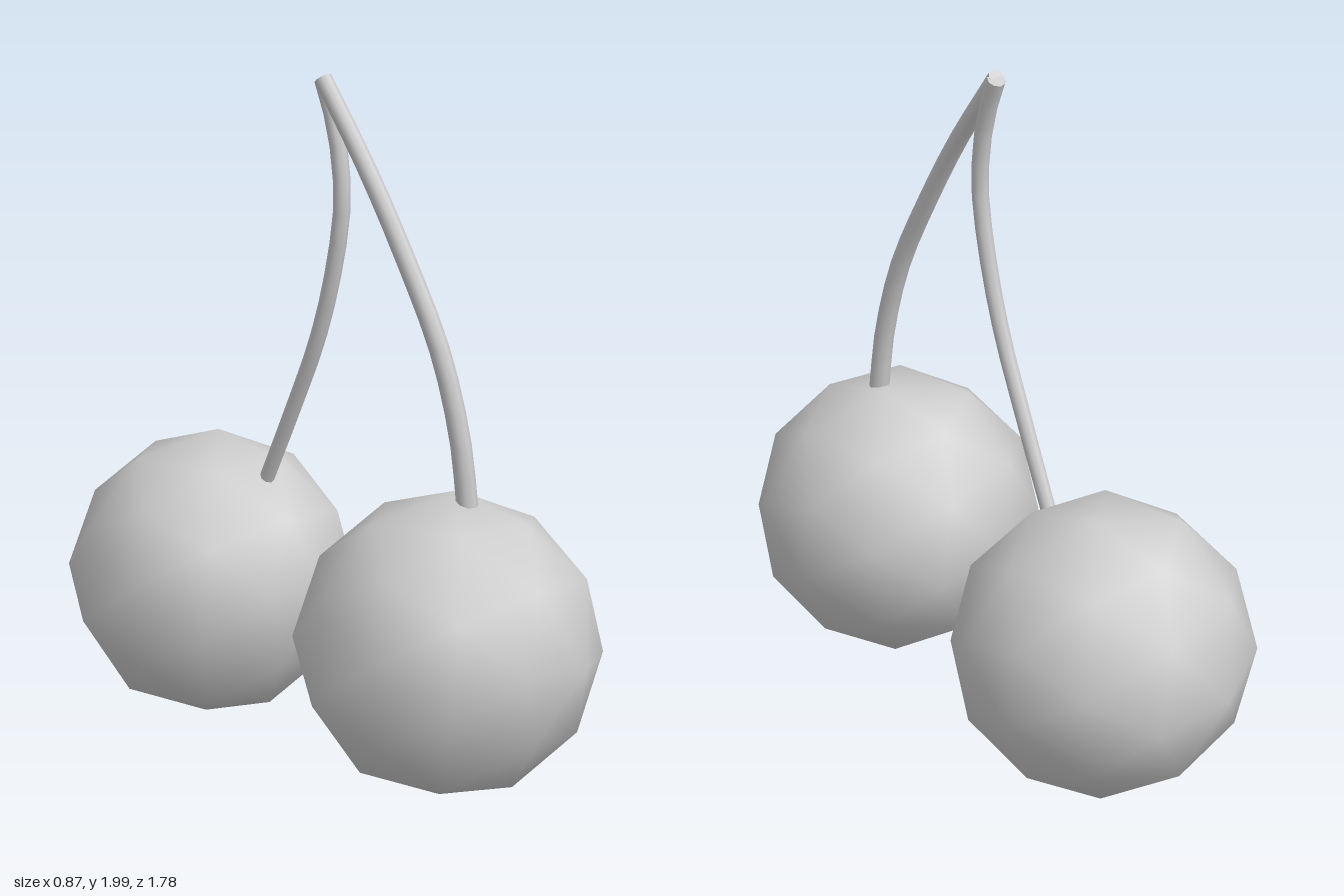
import * as THREE from 'three';

const material = new THREE.MeshStandardMaterial({ color: 0xcccccc });
const RINGS = 14, SIDES = 8;

// Low-poly round fruit, leaning slightly to one side
function makeFruit(name, x, y, z) {
  const fruit = new THREE.Mesh(new THREE.IcosahedronGeometry(0.431, 1), material);
  const up = new THREE.Vector3(0.14, 0.987, -0.08).normalize();
  const side = new THREE.Vector3(-0.964, 0, 0.266).projectOnPlane(up).normalize();
  const front = up.clone().cross(side);
  fruit.quaternion.setFromRotationMatrix(new THREE.Matrix4().makeBasis(side, front, up));
  fruit.position.set(x, y, z);
  fruit.name = name;
  return fruit;
}

// Curved stem tapering from r0 to r1, closed by a disc at each end
function makeStem(name, points, r0, r1) {
  const stem = new THREE.Group();
  stem.name = name;
  const curve = new THREE.CatmullRomCurve3(points.map(p => new THREE.Vector3(...p)));
  const geometry = new THREE.TubeGeometry(curve, RINGS, 1, SIDES);
  const pos = geometry.attributes.position;
  const v = new THREE.Vector3();
  for (let i = 0; i < pos.count; i++) {
    const t = Math.floor(i / (SIDES + 1)) / RINGS;
    const c = curve.getPointAt(t);
    v.fromBufferAttribute(pos, i).sub(c).multiplyScalar(r0 + (r1 - r0) * t).add(c);
    pos.setXYZ(i, v.x, v.y, v.z);
  }
  const shaft = new THREE.Mesh(geometry, material);
  shaft.name = name + 'Shaft';
  stem.add(shaft);
  for (const [t, r, sign] of [[0, r0, -1], [1, r1, 1]]) {
    const cap = new THREE.Mesh(new THREE.CircleGeometry(r, SIDES), material);
    cap.position.copy(curve.getPointAt(t));
    cap.quaternion.setFromUnitVectors(
      new THREE.Vector3(0, 0, 1), curve.getTangentAt(t).multiplyScalar(sign));
    cap.name = name + 'Cap';
    stem.add(cap);
  }
  return stem;
}

export function createModel() {
  const model = new THREE.Group();
  model.name = 'cherryPair';
  model.add(
    makeFruit('frontFruit', 0.022, 0.467, 0.477),
    makeFruit('backFruit', -0.025, 0.432, -0.477),
    makeStem('frontStem', [
      [0.06, 0.86, 0.508], [0.053, 1.053, 0.483], [0.042, 1.287, 0.414],
      [0.027, 1.536, 0.285], [0.016, 1.748, 0.154], [0.011, 1.98, -0.022],
    ], 0.03, 0.025),
    makeStem('backStem', [
      [0.005, 0.75, -0.27], [0.007, 1.0, -0.15], [0.01, 1.24, -0.043],
      [0.013, 1.45, 0.02], [0.016, 1.64, 0.05], [0.018, 1.79, 0.035],
      [0.02, 1.9, 0.002], [0.021, 1.975, -0.032],
    ], 0.022, 0.025),
  );
  return model;
}
